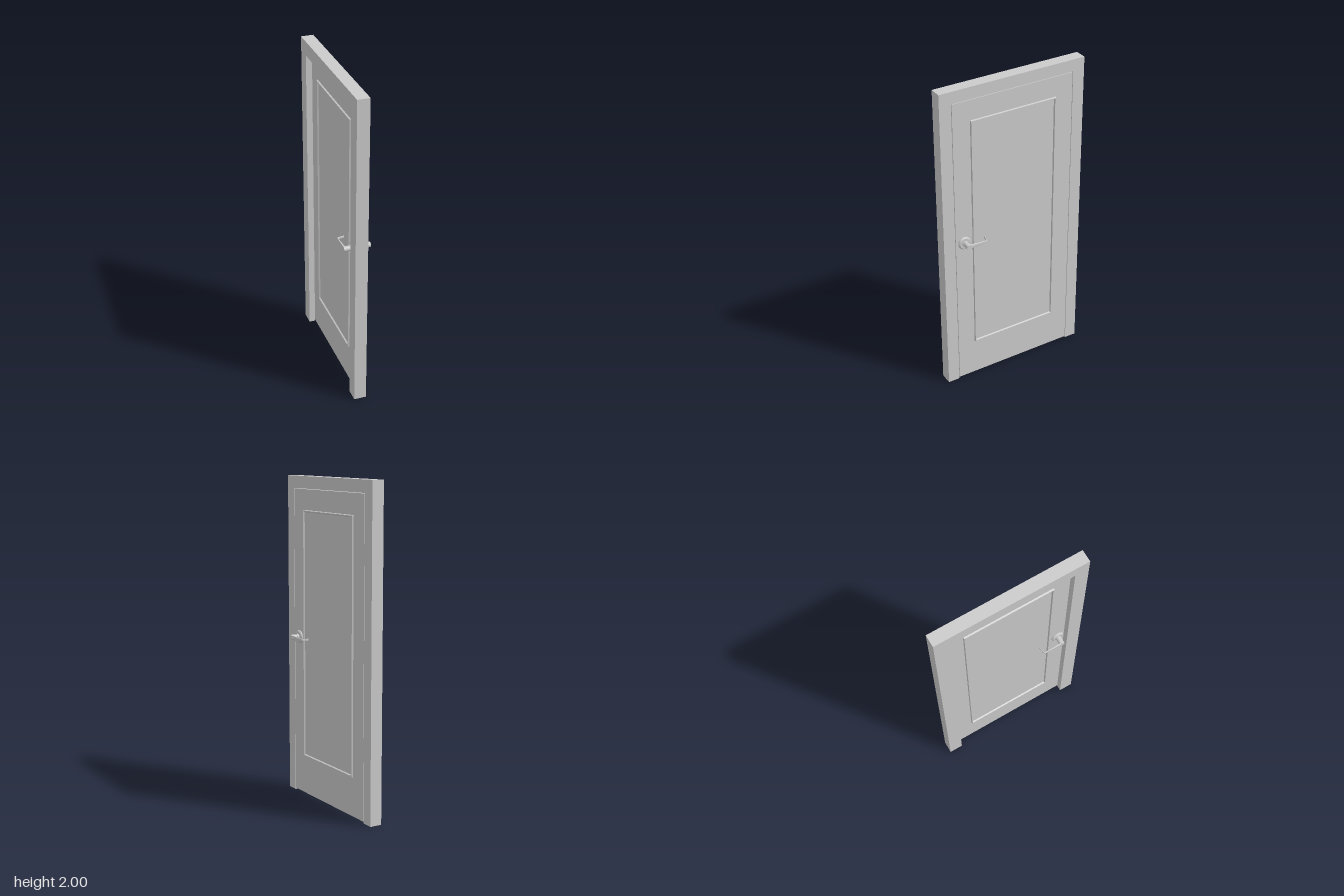
import * as THREE from 'three';

const material = new THREE.MeshStandardMaterial({ color: 0xcccccc });
const doubleSided = new THREE.MeshStandardMaterial({ color: 0xcccccc, side: THREE.DoubleSide });

const MID = -0.001;        // x of the door's middle plane
const HALF = 0.019;        // half the door thickness
const HANDLE_Y = 1.005, HANDLE_Z = 0.34;

function addMesh(parent, name, geometry, mat = material) {
  const mesh = new THREE.Mesh(geometry, mat);
  mesh.name = name;
  parent.add(mesh);
  return mesh;
}

// Extrude an outline drawn in (z, y) from xFront towards -x
function slab(shape, xFront, depth) {
  const geometry = new THREE.ExtrudeGeometry(shape, { depth, bevelEnabled: false });
  return geometry.rotateY(-Math.PI / 2).translate(xFront, 0, 0);
}

// Upside-down U for the jambs and head, with open feet
function casing(inner, top, xFront, depth) {
  const outline = [[-0.475, 0], [-inner, 0], [-inner, top], [inner, top],
    [inner, 0], [0.475, 0], [0.475, 2], [-0.475, 2]];
  const geometry = slab(new THREE.Shape(outline.map(p => new THREE.Vector2(...p))), xFront, depth);
  const source = geometry.attributes.position, kept = [];
  for (let i = 0; i < source.count; i += 3) {
    const ys = [0, 1, 2].map(k => source.getY(i + k));
    if (Math.max(...ys) < 1e-4) continue;
    for (let k = 0; k < 3; k++) kept.push(source.getX(i + k), ys[k], source.getZ(i + k));
  }
  const open = new THREE.BufferGeometry();
  open.setAttribute('position', new THREE.Float32BufferAttribute(kept, 3));
  open.computeVertexNormals();
  return open;
}

// Rectangular moulding ring with sloping sides, built from four cross-section loops
function moulding(side) {
  const profile = [[0, 0], [0.003, 0.009], [0.009, 0.009], [0.013, 0]];
  const corners = [[-1, 0], [1, 0], [1, 1], [-1, 1]];
  const point = (c, [inset, height]) => {
    const [sz, top] = corners[c % 4];
    return [MID + side * (HALF + height), top ? 1.796 - inset : 0.25 + inset, sz * (0.284 - inset)];
  };
  const vertices = [];
  for (let c = 0; c < 4; c++) {
    for (let p = 0; p < 3; p++) {
      const a = point(c, profile[p]), b = point(c + 1, profile[p]);
      const d = point(c, profile[p + 1]), e = point(c + 1, profile[p + 1]);
      const quad = side > 0 ? [a, d, b, b, d, e] : [a, b, d, b, e, d];
      vertices.push(...quad.flat());
    }
  }
  const geometry = new THREE.BufferGeometry();
  geometry.setAttribute('position', new THREE.Float32BufferAttribute(vertices, 3));
  geometry.computeVertexNormals();
  return geometry;
}

// Tapered lever lofted through rounded sections, bent back to the door at its tip
function lever(side) {
  // distance from mid plane, z, half thickness, half height
  const stations = [[0.075, 0.338, 0.006, 0.014], [0.075, 0.315, 0.006, 0.013],
    [0.0755, 0.27, 0.0042, 0.010], [0.0755, 0.228, 0.0032, 0.008],
    [0.0735, 0.2185, 0.0034, 0.0075], [0.066, 0.2155, 0.0027, 0.007],
    [0.048, 0.212, 0.0025, 0.007], [0.031, 0.209, 0.0023, 0.0065]];
  const N = 16, vertices = [], index = [];
  stations.forEach(([x, z, t, h], i) => {
    const a = stations[Math.max(i - 1, 0)], b = stations[Math.min(i + 1, stations.length - 1)];
    const dx = b[0] - a[0], dz = b[1] - a[1], len = Math.hypot(dx, dz);
    for (let k = 0; k < N; k++) {
      const angle = side * k / N * Math.PI * 2;
      const c = Math.cos(angle), s = Math.sin(angle);
      const u = t * Math.sign(c) * Math.sqrt(Math.abs(c)), v = h * Math.sign(s) * Math.sqrt(Math.abs(s));
      vertices.push(MID + side * (x - u * dz / len), HANDLE_Y + v, z + u * dx / len);
      if (i < stations.length - 1) {
        const p = i * N + k, q = i * N + (k + 1) % N;
        index.push(p, q, p + N, q, q + N, p + N);
      }
    }
  });
  // Tip cap
  const last = (stations.length - 1) * N;
  for (let k = 1; k < N - 1; k++) index.push(last, last + k, last + k + 1);
  const geometry = new THREE.BufferGeometry();
  geometry.setAttribute('position', new THREE.Float32BufferAttribute(vertices, 3));
  geometry.setIndex(index);
  geometry.computeVertexNormals();
  return geometry;
}

// Turned part from (start, end) distances off the mid plane, along x
function turned(side, start, end, r0, r1 = r0) {
  const geometry = new THREE.CylinderGeometry(r1, r0, end - start, 32);
  geometry.rotateZ(-side * Math.PI / 2);
  return geometry.translate(MID + side * (start + end) / 2, HANDLE_Y, HANDLE_Z);
}

export function createModel() {
  const model = new THREE.Group();
  model.name = 'door';

  // Frame: jambs and head, with a narrower stop behind the door leaf
  const frame = new THREE.Group();
  frame.name = 'frame';
  model.add(frame);
  addMesh(frame, 'frameJambs', casing(0.4, 1.925, 0.018, 0.038));
  addMesh(frame, 'frameStop', casing(0.388, 1.913, -0.02, 0.038));

  // Door leaf with a small gap all round
  const leaf = new THREE.BoxGeometry(HALF * 2, 1.912, 0.792);
  addMesh(model, 'doorLeaf', leaf).position.set(MID, 0.966, 0);

  // Both faces carry the same moulding and handle
  for (const side of [1, -1]) {
    const label = side > 0 ? 'left' : 'right';
    addMesh(model, label + 'Moulding', moulding(side), doubleSided);

    const handle = new THREE.Group();
    handle.name = label + 'Handle';
    model.add(handle);
    addMesh(handle, 'rose', turned(side, HALF, 0.026, 0.04));
    addMesh(handle, 'roseBevel', turned(side, 0.026, 0.031, 0.04, 0.034));
    addMesh(handle, 'collar', turned(side, 0.031, 0.042, 0.019));
    addMesh(handle, 'hub', turned(side, 0.042, 0.082, 0.016));
    addMesh(handle, 'lever', lever(side), doubleSided);
  }
  return model;
}
